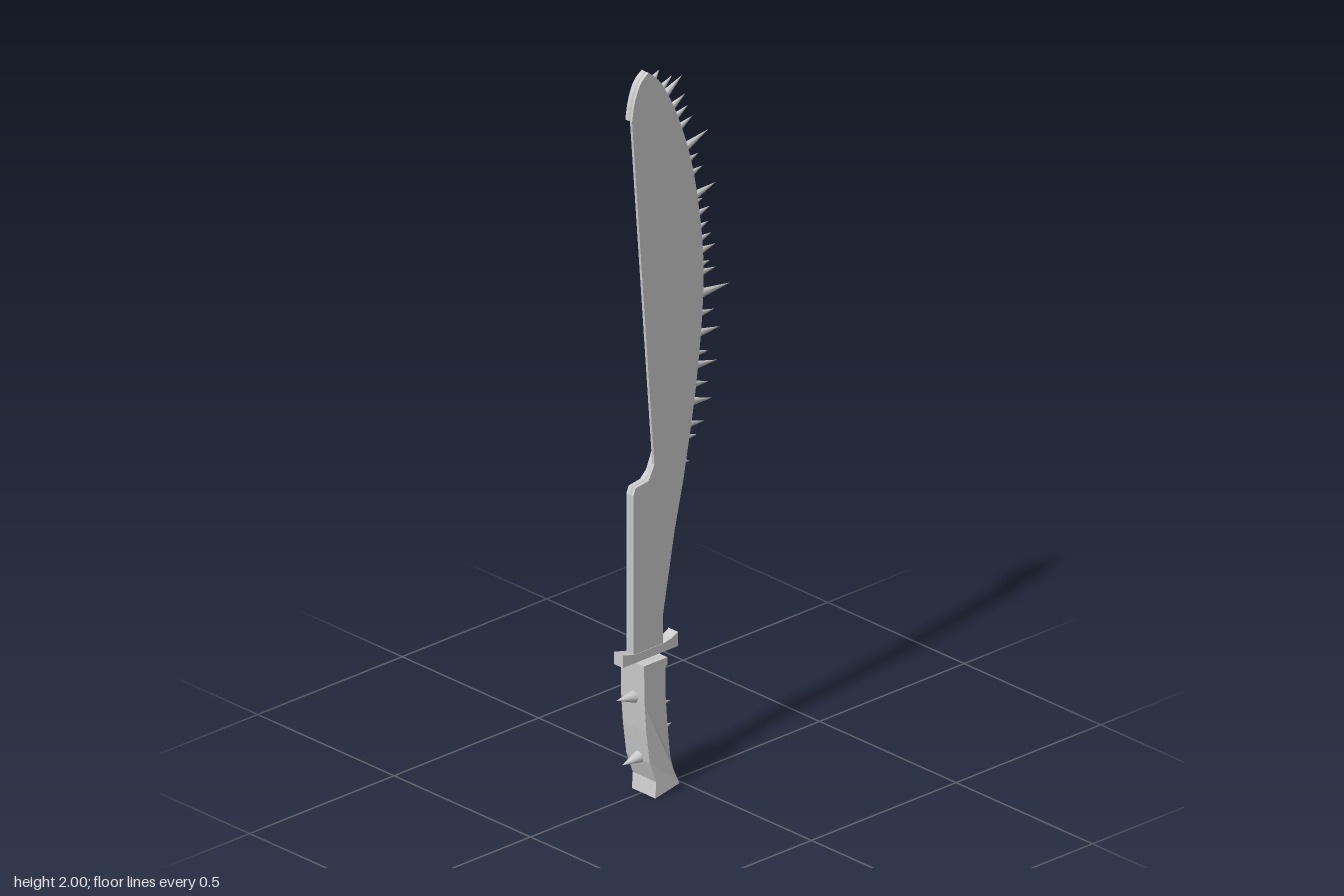
import * as THREE from 'three';

const material = new THREE.MeshStandardMaterial({ color: 0xcccccc, side: THREE.DoubleSide });
const vecs = (pts) => pts.map(([x, y]) => new THREE.Vector2(x, y));

// Spine of the blade, from the tip down to the lowest spike
const spine = new THREE.SplineCurve(vecs([
  [-0.1, 2.0], [-0.055, 1.955], [0.0, 1.85], [0.05, 1.7], [0.08, 1.53],
  [0.09, 1.4], [0.084, 1.25], [0.06, 1.05], [0.02, 0.83],
]));
const spinePoints = spine.getPoints(40);

// Rounded nose between the cutting edge and the tip
const nose = new THREE.SplineCurve(vecs([[-0.157, 1.88], [-0.148, 1.93], [-0.128, 1.977], [-0.1, 2.0]])).getPoints(8);

function addMesh(parent, name, geometry) {
  const mesh = new THREE.Mesh(geometry, material);
  mesh.name = name;
  parent.add(mesh);
  return mesh;
}

// Extrude an outline between two depths, optionally with an inset bevel
function slab(points, back, front, bevel = 0) {
  const g = new THREE.ExtrudeGeometry(new THREE.Shape(points), {
    depth: front - back - 2 * bevel, steps: 1, bevelEnabled: bevel > 0,
    bevelThickness: bevel, bevelSize: bevel, bevelOffset: -bevel, bevelSegments: 1,
  });
  return g.translate(0, 0, back + bevel);
}

// Cone from a base point to a tip, sunk slightly into its surface
function addSpike(parent, name, base, tip, radius) {
  const dir = tip.clone().sub(base).normalize();
  const start = base.clone().addScaledVector(dir, -0.012);
  const length = start.distanceTo(tip);
  const spike = addMesh(parent, name, new THREE.ConeGeometry(radius, length, 10));
  spike.position.copy(start).lerp(tip, 0.5);
  spike.quaternion.setFromUnitVectors(new THREE.Vector3(0, 1, 0), dir);
}

export function createModel() {
  const group = new THREE.Group();
  group.name = 'spikedMachete';

  // Flat front plate covering the whole blade silhouette
  addMesh(group, 'bladePlate', slab([
    ...nose, ...spinePoints.slice(1),
    ...vecs([[-0.01, 0.7], [-0.05, 0.48], [-0.05, 0.39], [-0.153, 0.39],
      [-0.153, 0.84], [-0.145, 0.86], [-0.1, 0.866], [-0.08, 0.905]]),
  ], 0.001, 0.009));

  // Thick S-shaped body on the back: spine band flowing into the tang
  const crease = new THREE.SplineCurve(vecs([
    [-0.085, 0.885], [-0.06, 0.95], [-0.028, 1.07], [-0.006, 1.22], [0.002, 1.4],
    [-0.01, 1.56], [-0.04, 1.71], [-0.08, 1.81], [-0.12, 1.855],
  ])).getPoints(30);
  const lower = new THREE.SplineCurve(vecs([
    [0.02, 0.83], [-0.025, 0.815], [-0.055, 0.765], [-0.063, 0.65], [-0.058, 0.5], [-0.05, 0.39],
  ])).getPoints(16);
  addMesh(group, 'bladeSpineBand', slab([
    ...nose, ...spinePoints.slice(1), ...lower.slice(1),
    ...vecs([[-0.153, 0.39], [-0.153, 0.84], [-0.145, 0.86], [-0.105, 0.866]]),
    ...crease,
  ], -0.023, 0.002, 0.007));

  // Spikes along the spine, each square to the curve
  const tips = [
    [-0.045, 1.985], [0, 1.955], [0.035, 1.945], [0.045, 1.89], [0.055, 1.855], [0.07, 1.82],
    [0.125, 1.765], [0.09, 1.71], [0.105, 1.67], [0.15, 1.61], [0.105, 1.58], [0.13, 1.55],
    [0.125, 1.51], [0.135, 1.475], [0.15, 1.44], [0.13, 1.4], [0.15, 1.375], [0.2, 1.315],
    [0.145, 1.26], [0.165, 1.205], [0.125, 1.15], [0.155, 1.115], [0.125, 1.065], [0.14, 1.015],
    [0.11, 0.96], [0.085, 0.93], [0.06, 0.865], [0.025, 0.82],
  ];
  const samples = spine.getPoints(300);
  const bladeSpikes = new THREE.Group();
  bladeSpikes.name = 'bladeSpikes';
  group.add(bladeSpikes);
  for (const tip of vecs(tips)) {
    const base = samples.reduce((a, b) => (b.distanceTo(tip) < a.distanceTo(tip) ? b : a));
    const radius = 0.012 + 0.04 * Math.max(0, base.distanceTo(tip) - 0.04);
    addSpike(bladeSpikes, 'bladeSpike', new THREE.Vector3(base.x, base.y, -0.009),
      new THREE.Vector3(tip.x, tip.y, -0.01), radius);
  }

  // Crossguard with upturned ends
  addMesh(group, 'guard', slab(vecs([
    [-0.19, 0.376], [0, 0.376], [0, 0.416], [-0.02, 0.405], [-0.045, 0.4],
    [-0.15, 0.4], [-0.17, 0.405], [-0.19, 0.411],
  ]), -0.023, 0.01));

  // Grip, its flared pommel leaning forward
  const grip = slab(vecs([
    [-0.115, 0.003], [-0.03, 0.018], [-0.047, 0.06], [-0.055, 0.1], [-0.065, 0.2], [-0.071, 0.28],
    [-0.071, 0.35], [-0.064, 0.357], [-0.064, 0.376], [-0.145, 0.376], [-0.143, 0.27],
    [-0.137, 0.19], [-0.125, 0.1], [-0.108, 0.045],
  ]), -0.046, 0.04);
  const p = grip.attributes.position;
  for (let i = 0; i < p.count; i++) {
    const lean = Math.max(0, 0.1 - p.getY(i)) * 0.1;
    p.setZ(i, p.getZ(i) + lean);
  }
  grip.computeVertexNormals();
  addMesh(group, 'grip', grip);

  // Grip spikes: base x, tip x, base y, tip y, z
  const gripSpikes = [
    [-0.067, -0.008, 0.228, 0.222, -0.008], [-0.061, -0.01, 0.155, 0.163, -0.002],
    [-0.142, -0.203, 0.279, 0.286, 0], [-0.125, -0.183, 0.107, 0.1, 0],
  ];
  for (const [bx, tx, by, ty, z] of gripSpikes) {
    addSpike(group, 'gripSpike', new THREE.Vector3(bx, by, z), new THREE.Vector3(tx, ty, z), 0.02);
  }
  return group;
}
